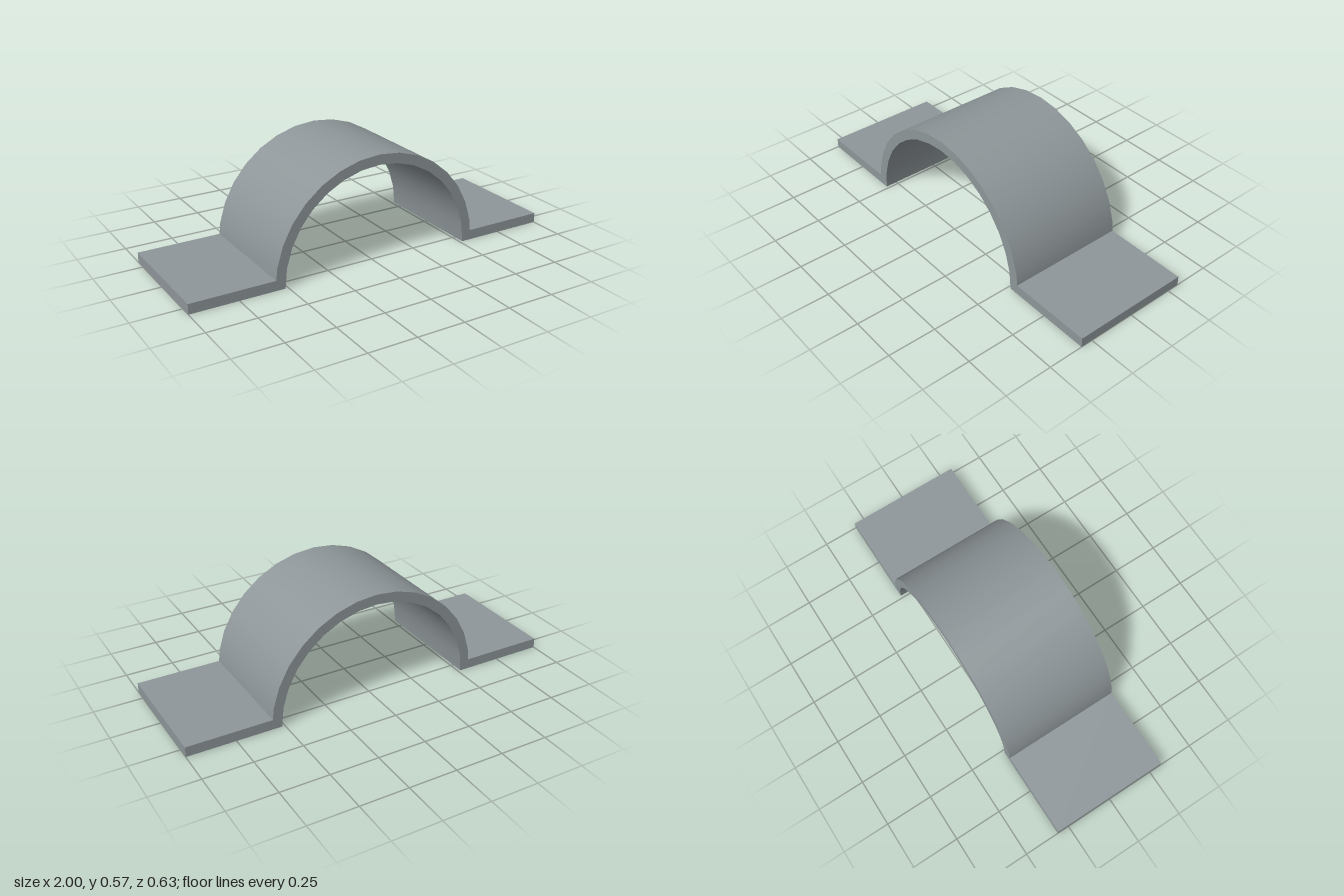
import * as THREE from 'three';
import { toCreasedNormals } from 'three/addons/utils/BufferGeometryUtils.js';

const OUTER = 0.567, INNER = 0.515, THICK = 0.052, DEPTH = 0.627, SEGMENTS = 16;

export function createModel() {
  const group = new THREE.Group();
  group.name = 'pipeStrap';
  const steel = new THREE.MeshStandardMaterial({ color: 0x8e9699 });
  steel.name = 'grey steel';

  const onArc = (r, i) => {
    const a = (i * Math.PI) / SEGMENTS;
    return new THREE.Vector2(r * Math.cos(a), r * Math.sin(a));
  };

  // Where the outer arch meets the top of the flange
  const first = onArc(OUTER, 1);
  const footX = OUTER + (first.x - OUTER) * (THICK / first.y);

  // Cross-section: right flange, over the outer arch, left flange, back under the inner arch
  const profile = [
    new THREE.Vector2(1, 0),
    new THREE.Vector2(1, THICK),
    new THREE.Vector2(footX, THICK),
  ];
  for (let i = 1; i < SEGMENTS; i++) profile.push(onArc(OUTER, i));
  profile.push(
    new THREE.Vector2(-footX, THICK),
    new THREE.Vector2(-1, THICK),
    new THREE.Vector2(-1, 0),
  );
  for (let i = SEGMENTS; i >= 0; i--) profile.push(onArc(INNER, i));

  // Bent strip: smooth arch, sharp rims and flange corners
  const geometry = new THREE.ExtrudeGeometry(new THREE.Shape(profile), { depth: DEPTH, bevelEnabled: false });
  geometry.translate(0, 0, -DEPTH / 2);
  const strap = new THREE.Mesh(toCreasedNormals(geometry, 0.5), steel);
  strap.name = 'archWithFlanges';
  group.add(strap);
  return group;
}
